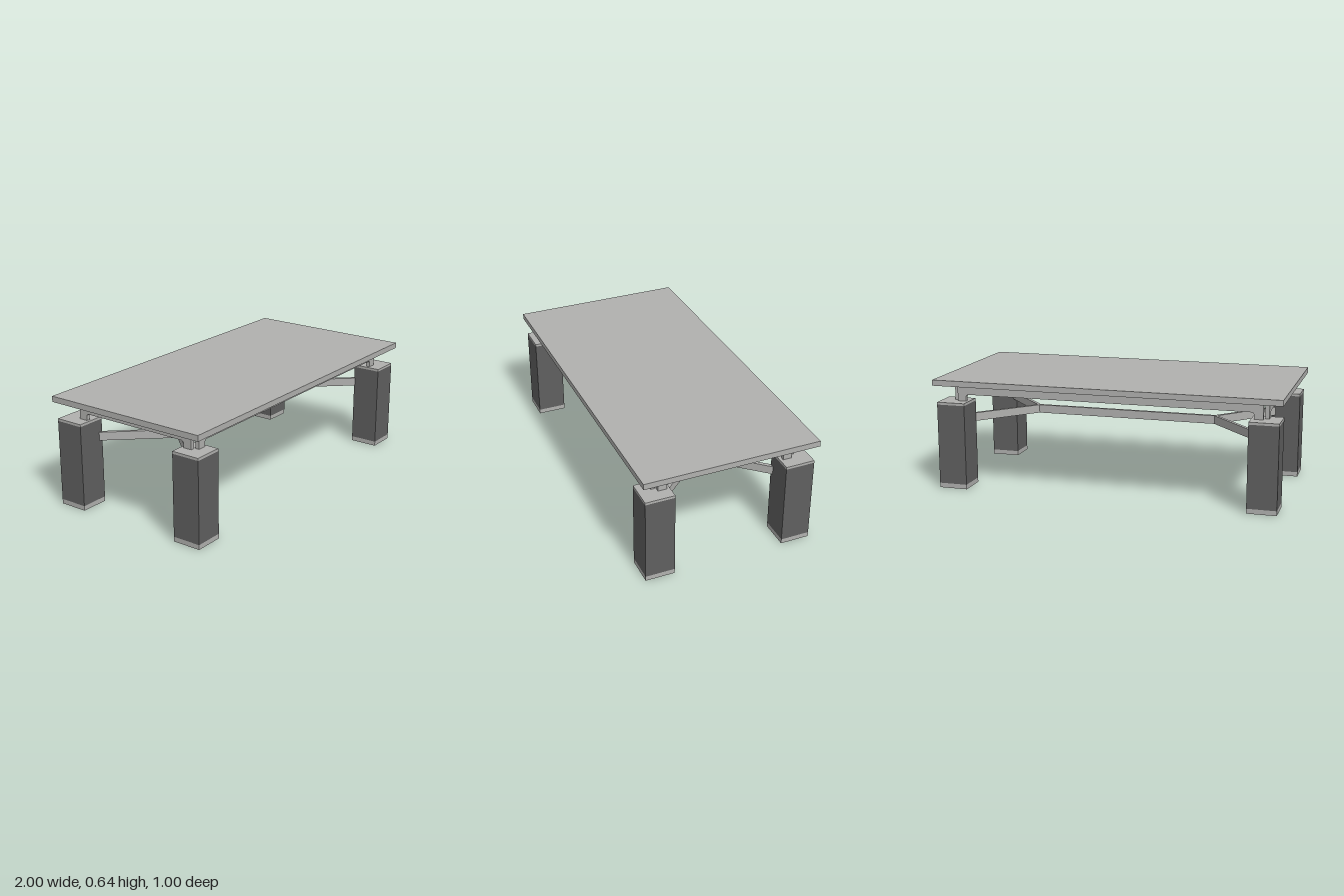
import * as THREE from 'three';

const lightMetal = new THREE.MeshStandardMaterial({ color: 0xb0b0ae });
lightMetal.name = 'light grey';
const darkWrap = new THREE.MeshStandardMaterial({ color: 0x5f5f5f });
darkWrap.name = 'dark grey';

function box(name, material, w, y0, y1, d, x = 0, z = 0) {
  const mesh = new THREE.Mesh(new THREE.BoxGeometry(w, y1 - y0, d), material);
  mesh.position.set(x, (y0 + y1) / 2, z);
  mesh.name = name;
  return mesh;
}

// Apron rail: a long board with short feet and filleted inner corners
function apronRail(name, half) {
  const top = 0.603, under = 0.543, foot = 0.505, inner = half - 0.05, r = 0.016, t = 0.022;
  const s = new THREE.Shape();
  s.moveTo(-half, top);
  s.lineTo(-half, foot);
  s.lineTo(-inner, foot);
  s.lineTo(-inner, under - r);
  s.absarc(-inner + r, under - r, r, Math.PI, Math.PI / 2, true);
  s.lineTo(inner - r, under);
  s.absarc(inner - r, under - r, r, Math.PI / 2, 0, true);
  s.lineTo(inner, foot);
  s.lineTo(half, foot);
  s.lineTo(half, top);
  s.closePath();
  const geo = new THREE.ExtrudeGeometry(s, { depth: t, bevelEnabled: false, curveSegments: 6 });
  geo.translate(0, 0, -t / 2);
  const mesh = new THREE.Mesh(geo, lightMetal);
  mesh.name = name;
  return mesh;
}

// Stretcher: flat outline in x/z extruded upward
function flatBar(name, points, y0, y1) {
  const shape = new THREE.Shape(points.map(([x, z]) => new THREE.Vector2(x, -z)));
  const geo = new THREE.ExtrudeGeometry(shape, { depth: y1 - y0, bevelEnabled: false });
  geo.rotateX(-Math.PI / 2);
  geo.translate(0, y0, 0);
  const mesh = new THREE.Mesh(geo, lightMetal);
  mesh.name = name;
  return mesh;
}

export function createModel() {
  const table = new THREE.Group();
  table.name = 'table';

  table.add(box('tableTop', lightMetal, 2, 0.603, 0.636, 1));

  // Four apron rails, leaving the corners open
  for (const side of [1, -1]) {
    const long = apronRail(side > 0 ? 'frontApron' : 'backApron', 0.883);
    long.position.z = side * 0.402;
    const short = apronRail(side > 0 ? 'leftApron' : 'rightApron', 0.385);
    short.rotation.y = Math.PI / 2;
    short.position.x = side * 0.9;
    table.add(long, short);
  }

  // Block legs with light caps at both ends
  const w = 0.166;
  for (const sx of [1, -1]) {
    for (const sz of [1, -1]) {
      const leg = new THREE.Group();
      leg.name = (sz > 0 ? 'front' : 'back') + (sx > 0 ? 'Left' : 'Right') + 'Leg';
      leg.add(
        box('legFoot', lightMetal, w, 0, 0.027, w),
        box('legBody', darkWrap, w, 0.027, 0.491, w),
        box('legCap', lightMetal, w, 0.491, 0.505, w),
      );
      leg.position.set(sx * 0.898, 0, sz * 0.401);
      table.add(leg);
    }
  }

  // Stretcher: central bar forking to the four legs
  const stretcher = new THREE.Group();
  stretcher.name = 'stretcher';
  const y0 = 0.37, y1 = 0.418, h = 0.01;
  stretcher.add(box('centreBar', lightMetal, 1.08, y0, y1, 2 * h));
  for (const sx of [1, -1]) {
    for (const sz of [1, -1]) {
      const pts = [[0.536, h], [0.536, 0], [0.552, 0], [0.843, 0.323], [0.827, 0.336]];
      stretcher.add(flatBar('forkArm', pts.map(([x, z]) => [sx * x, sz * z]), y0, y1));
    }
  }
  table.add(stretcher);

  return table;
}
